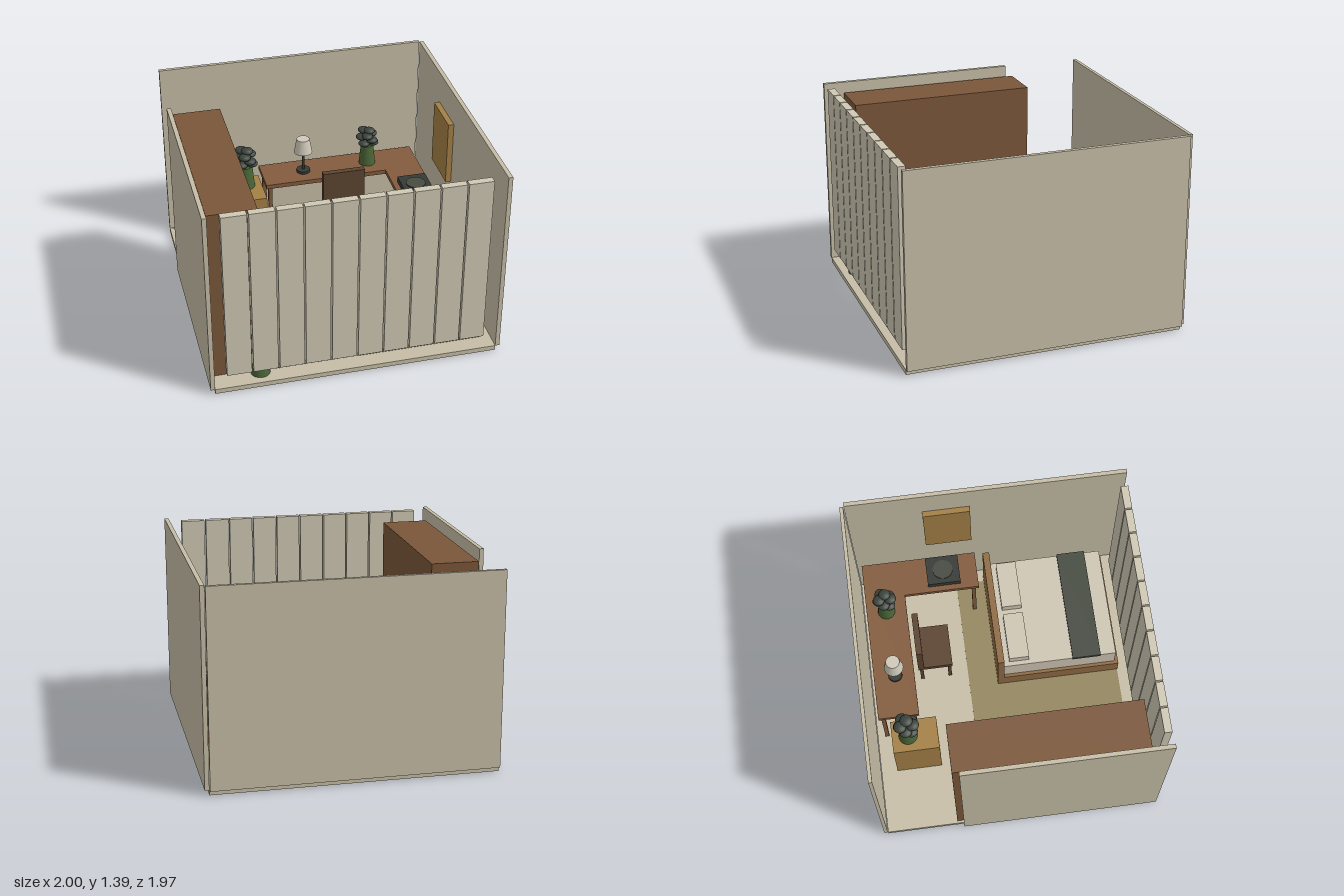
import * as THREE from 'three';

const paint = (color) => new THREE.MeshStandardMaterial({ color, roughness: 0.9 });
const mats = {
  wall: paint(0xc6bda6), slat: paint(0xcfc8b4), linen: paint(0xcfc6b4), walnut: paint(0x7a5639),
  desk: paint(0x835c3e), oak: paint(0x8f6b44), honey: paint(0xa48046), rug: paint(0x94875f),
  chair: paint(0x5c4431), dark: paint(0x363a35), blanket: paint(0x464b41), disc: paint(0x474b42),
  pot: paint(0x4a6637), leaf: paint(0x3c443d), shade: paint(0xcfc9ba),
};
mats.shade.side = THREE.DoubleSide;

// Box given by its limits on each axis
function box(parent, name, mat, [x0, x1], [y0, y1], [z0, z1]) {
  const mesh = new THREE.Mesh(new THREE.BoxGeometry(x1 - x0, y1 - y0, z1 - z0), mats[mat]);
  mesh.position.set((x0 + x1) / 2, (y0 + y1) / 2, (z0 + z1) / 2);
  mesh.name = name;
  parent.add(mesh);
  return mesh;
}

// Upright cylinder or cone section standing on height y
function round(parent, name, mat, rTop, rBottom, h, x, y, z, open = false) {
  const mesh = new THREE.Mesh(new THREE.CylinderGeometry(rTop, rBottom, h, 24, 1, open), mats[mat]);
  mesh.position.set(x, y + h / 2, z);
  mesh.name = name;
  parent.add(mesh);
  return mesh;
}

function part(parent, name) {
  const group = new THREE.Group();
  group.name = name;
  parent.add(group);
  return group;
}

// Tapered pot with a spiral of flattened leaf clumps
function addPlant(parent, name, x, y, z, s = 1) {
  const plant = part(parent, name);
  plant.position.set(x, y, z);
  plant.scale.setScalar(s);
  round(plant, 'pot', 'pot', 0.05, 0.066, 0.17, 0, 0, 0);
  const leafShape = new THREE.SphereGeometry(0.045, 14, 10);
  for (let i = 0; i < 9; i++) {
    const leaf = new THREE.Mesh(leafShape, mats.leaf);
    const a = i * 2.4, r = i === 8 ? 0.015 : 0.047;
    leaf.position.set(Math.cos(a) * r, 0.185 + i * 0.014, Math.sin(a) * r);
    leaf.scale.y = 0.55;
    leaf.name = 'leafClump';
    plant.add(leaf);
  }
}

export function createModel() {
  const room = new THREE.Group();
  room.name = 'bedroom';
  const F = 0.035; // floor level

  // Shell: the right wall stops short to leave a doorway
  const shell = part(room, 'shell');
  box(shell, 'floor', 'wall', [-0.97, 0.97], [0, F], [-0.957, 0.982]);
  box(shell, 'backWall', 'wall', [-0.97, 0.968], [F, 1.39], [-0.985, -0.96]);
  box(shell, 'leftWall', 'wall', [0.97, 1], [F, 1.39], [-0.957, 0.982]);
  box(shell, 'rightWall', 'wall', [-1, -0.97], [F, 1.39], [-0.41, 0.982]);

  // Vertical blind slats across the open front
  const blind = part(room, 'blind');
  for (let i = 0; i < 10; i++) {
    const x = -0.885 + i * 0.1775;
    box(blind, 'slat', 'slat', [x, x + 0.167], [0.132, 1.375], [0.925, 0.977]);
  }

  box(room, 'rug', 'rug', [-0.605, 0.875], [F, 0.041], [-0.24, 0.863]);
  box(room, 'wardrobe', 'walnut', [-0.953, -0.625], [F, 1.315], [-0.455, 0.842]);
  box(room, 'sideTable', 'honey', [-0.525, -0.295], [F, 0.485], [-0.84, -0.515]);
  box(room, 'wallPicture', 'honey', [0.93, 0.97], [0.695, 1.165], [-0.435, -0.105]);

  // Bed
  const bed = part(room, 'bed');
  box(bed, 'bedFrame', 'oak', [0.04, 0.907], [F, 0.165], [0.015, 0.865]);
  box(bed, 'headboard', 'oak', [0.04, 0.907], [F, 0.49], [-0.03, 0.018]);
  box(bed, 'mattress', 'linen', [0.063, 0.88], [0.165, 0.335], [0.018, 0.837]);
  box(bed, 'blanket', 'blanket', [0.057, 0.886], [0.325, 0.352], [0.52, 0.725]);
  for (const x of [0.095, 0.5]) {
    box(bed, 'pillow', 'linen', [x, x + 0.348], [0.335, 0.4], [0.06, 0.205]);
  }

  // Corner desk
  const desk = part(room, 'desk');
  box(desk, 'deskTop', 'desk', [-0.275, 0.907], [0.487, 0.52], [-0.918, -0.63]);
  box(desk, 'deskReturn', 'desk', [0.637, 0.907], [0.487, 0.52], [-0.63, -0.09]);
  for (const [x, z] of [[-0.255, -0.9], [-0.255, -0.68], [0.86, -0.9], [0.655, -0.14], [0.86, -0.14]]) {
    box(desk, 'deskLeg', 'desk', [x, x + 0.028], [F, 0.487], [z, z + 0.028]);
  }

  // Chair
  const chair = part(room, 'chair');
  box(chair, 'chairSeat', 'chair', [0.14, 0.455], [0.27, 0.31], [-0.6, -0.35]);
  box(chair, 'chairBack', 'chair', [0.14, 0.455], [0.31, 0.597], [-0.6, -0.557]);
  for (const x of [0.155, 0.415]) for (const z of [-0.59, -0.385]) {
    box(chair, 'chairLeg', 'chair', [x, x + 0.025], [F, 0.27], [z, z + 0.025]);
  }

  // Turntable on the desk return
  const player = part(room, 'turntable');
  box(player, 'turntableBody', 'dark', [0.677, 0.888], [0.52, 0.563], [-0.455, -0.218]);
  round(player, 'platter', 'disc', 0.072, 0.072, 0.008, 0.782, 0.563, -0.337);

  // Desk lamp
  const lamp = part(room, 'lamp');
  round(lamp, 'lampBase', 'dark', 0.05, 0.05, 0.02, 0.035, 0.52, -0.765);
  round(lamp, 'lampStem', 'dark', 0.009, 0.009, 0.16, 0.035, 0.54, -0.765);
  round(lamp, 'lampShade', 'shade', 0.048, 0.068, 0.11, 0.035, 0.69, -0.765);

  addPlant(room, 'sideTablePlant', -0.41, 0.485, -0.725);
  addPlant(room, 'deskPlant', 0.53, 0.52, -0.775, 0.93);
  addPlant(room, 'floorPlant', -0.643, F, 0.868);

  return room;
}
